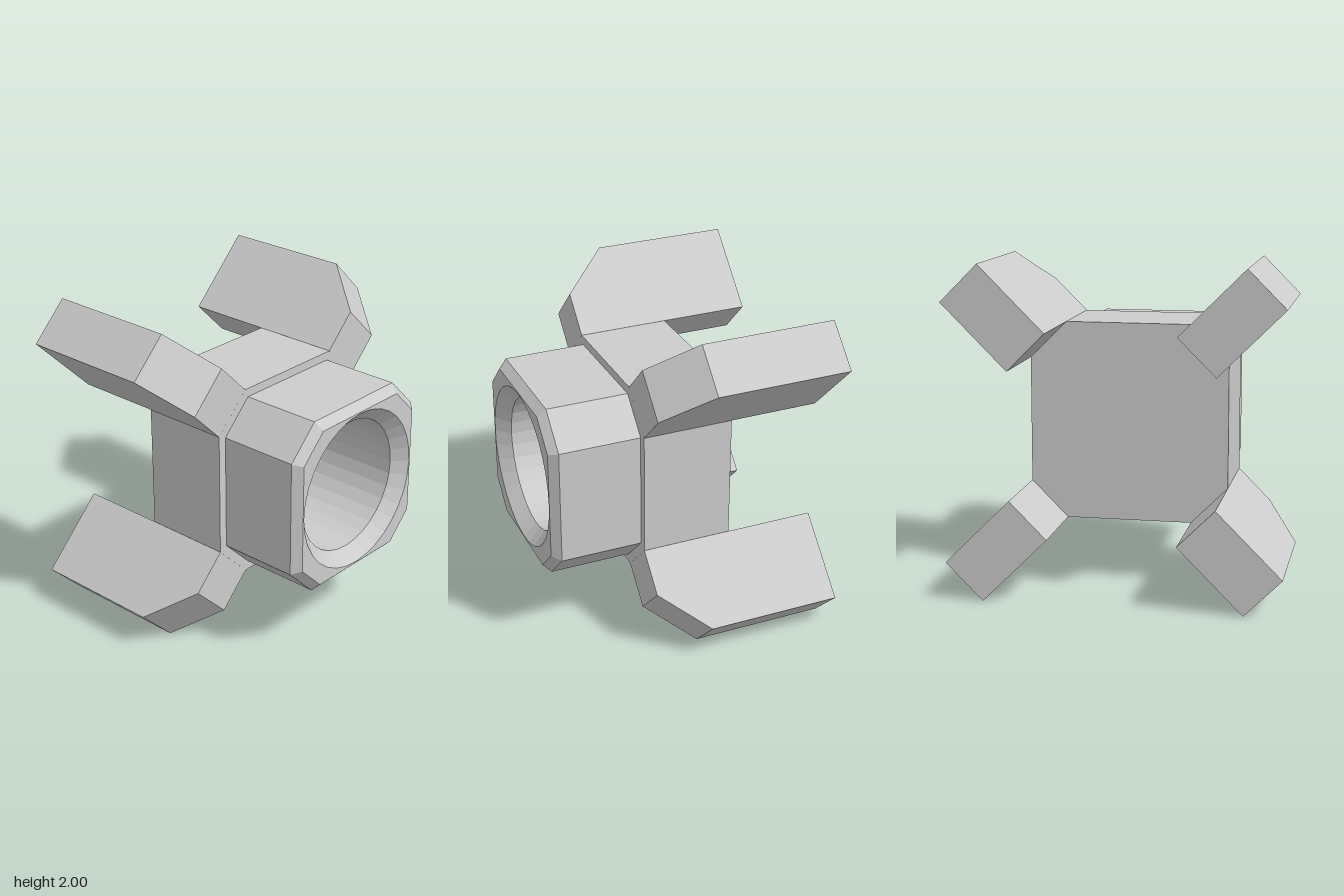
import * as THREE from 'three';

const gray = new THREE.MeshStandardMaterial({ color: 0xcccccc, flatShading: true });
gray.name = 'light gray';

// Corners of a square with cut corners: half = half width, c = half length of a flat side
const octagon = (half, c) => [
  [half, -c], [half, c], [c, half], [-c, half],
  [-half, c], [-half, -c], [-c, -half], [c, -half],
];

// Side walls running along +x through rings of [x, half, c]
function loft(rings) {
  const pos = [];
  for (let k = 0; k < rings.length - 1; k++) {
    const [x0, h0, c0] = rings[k], [x1, h1, c1] = rings[k + 1];
    const lower = octagon(h0, c0), upper = octagon(h1, c1);
    for (let i = 0; i < 8; i++) {
      const j = (i + 1) % 8;
      const a = [...lower[i], x0], b = [...lower[j], x0];
      const c = [...upper[j], x1], d = [...upper[i], x1];
      pos.push(...a, ...b, ...c, ...a, ...c, ...d);
    }
  }
  const g = new THREE.BufferGeometry();
  g.setAttribute('position', new THREE.Float32BufferAttribute(pos, 3));
  g.computeVertexNormals();
  return g.rotateY(Math.PI / 2);
}

// Flat octagonal end at x, facing +x (dir 1) or -x (dir -1), with an optional round hole
function cap(x, half, c, dir, hole = 0) {
  const shape = new THREE.Shape(octagon(half, c).map(p => new THREE.Vector2(...p)));
  if (hole) shape.holes.push(new THREE.Path().absarc(0, 0, hole, 0, Math.PI * 2, true));
  return new THREE.ShapeGeometry(shape, 16).rotateY(dir * Math.PI / 2).translate(x, 0, 0);
}

// Turned surface around the x axis from points [radius, x]
function turned(points) {
  const g = new THREE.LatheGeometry(points.map(p => new THREE.Vector2(...p)), 32);
  return g.rotateZ(-Math.PI / 2);
}

export function createModel() {
  const model = new THREE.Group();
  model.name = 'finnedSocket';
  const add = (name, geometry) => {
    const mesh = new THREE.Mesh(geometry, gray);
    mesh.name = name;
    mesh.position.y = 1;
    model.add(mesh);
    return mesh;
  };

  // Central hub
  add('hubSides', loft([[-0.28, 0.608, 0.383], [0.277, 0.608, 0.383]]));
  add('hubBack', cap(-0.28, 0.608, 0.383, -1));
  add('hubShoulder', cap(0.277, 0.608, 0.383, 1, 0.415));

  // Bevelled collar
  add('collarSides', loft([[0.277, 0.555, 0.36], [0.78, 0.555, 0.36], [0.83, 0.505, 0.34]]));
  add('collarRim', cap(0.83, 0.505, 0.34, 1, 0.497));

  // Countersunk bore
  add('boreBevel', turned([[0.497, 0.83], [0.415, 0.75]]));
  add('boreWall', turned([[0.415, 0.75], [0.415, 0]]));
  add('boreFloor', turned([[0.415, 0], [0, 0]]));

  // Four diagonal fins, each with one slanted corner
  const profile = new THREE.Shape([
    [-0.83, 0.701], [0.277, 0.701], [0.277, 0.98], [0, 1.255], [-0.83, 1.255],
  ].map(p => new THREE.Vector2(...p)));
  const fin = new THREE.ExtrudeGeometry(profile, { depth: 0.318, bevelEnabled: false });
  fin.translate(0, 0, -0.159);
  for (let i = 0; i < 4; i++) {
    add('fin' + (i + 1), fin).rotation.x = Math.PI / 4 + i * Math.PI / 2;
  }
  return model;
}
